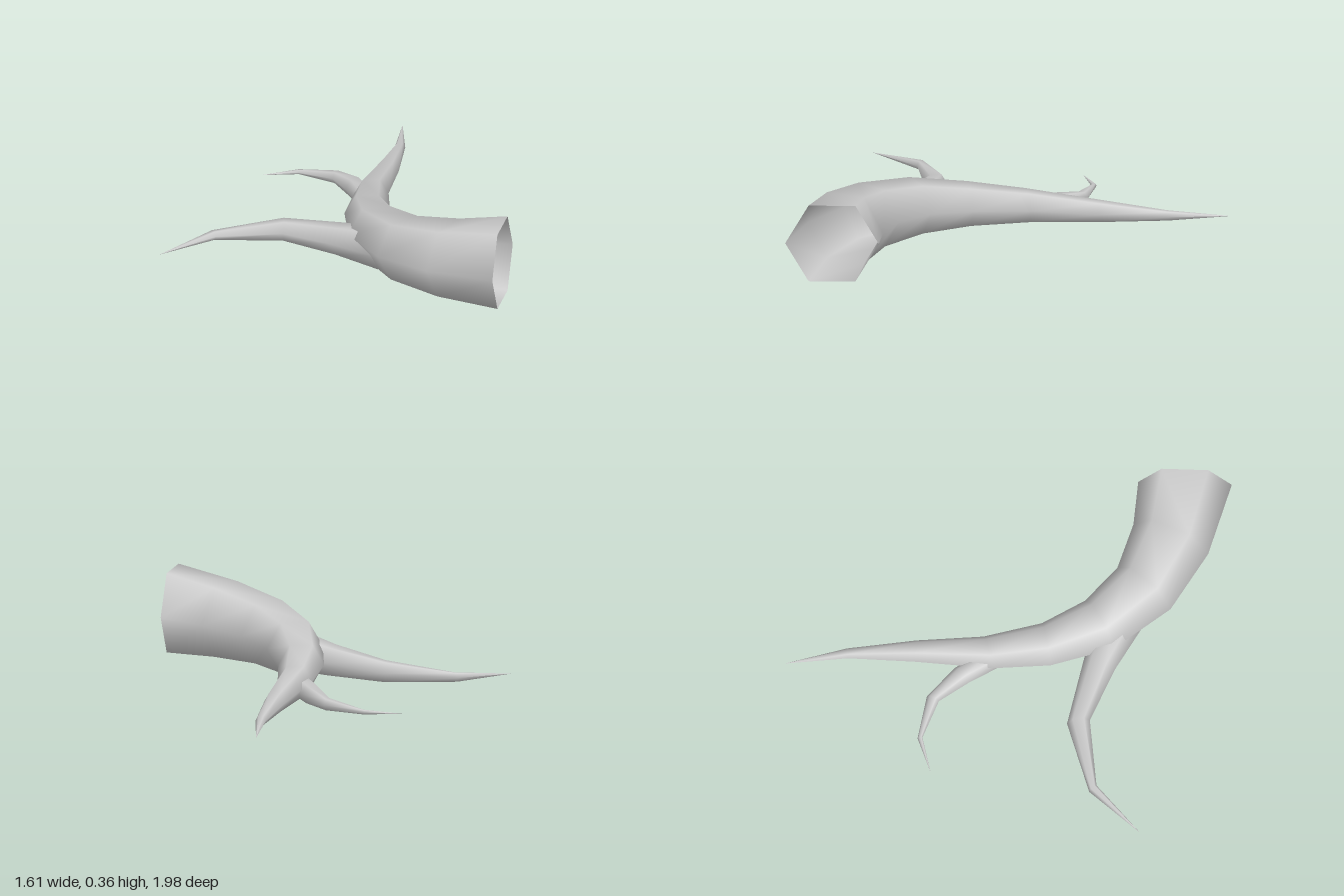
import * as THREE from 'three';

const material = new THREE.MeshStandardMaterial({ color: 0xcccccc, side: THREE.DoubleSide });
const SIDES = 6;

// Tapering six-sided limb resting on the ground.
// Each section is [outer x, outer z, inner x, inner z]; the last one is the tip.
function limb(name, sections) {
  const positions = [];
  const indices = [];
  for (const [ox, oz, ix, iz] of sections) {
    const sx = (ox - ix) / 2, sz = (oz - iz) / 2;
    const radius = Math.hypot(sx, sz);
    const lift = radius * Math.sqrt(3) / 2;
    for (let k = 0; k < SIDES; k++) {
      const a = (k / SIDES) * Math.PI * 2;
      positions.push(
        (ox + ix) / 2 + Math.cos(a) * sx,
        lift + Math.sin(a) * radius,
        (oz + iz) / 2 + Math.cos(a) * sz
      );
    }
  }
  for (let i = 0; i < sections.length - 1; i++) {
    for (let k = 0; k < SIDES; k++) {
      const next = (k + 1) % SIDES;
      const a = i * SIDES + k, b = i * SIDES + next;
      const c = a + SIDES, d = b + SIDES;
      indices.push(a, b, c);
      if (i < sections.length - 2) indices.push(b, d, c);
    }
  }
  const geometry = new THREE.BufferGeometry();
  geometry.setAttribute('position', new THREE.Float32BufferAttribute(positions, 3));
  geometry.setIndex(indices);
  geometry.computeVertexNormals();
  const mesh = new THREE.Mesh(geometry, material);
  mesh.name = name;
  return mesh;
}

export function createModel() {
  const group = new THREE.Group();
  group.name = 'root';

  // Thick curved root, open at the wide end
  group.add(limb('mainRoot', [
    [0.805, 0.995, 0.805, 0.575],
    [0.48, 0.90, 0.61, 0.56],
    [0.22, 0.74, 0.41, 0.495],
    [0.03, 0.49, 0.255, 0.355],
    [-0.05, 0.21, 0.15, 0.165],
    [-0.065, -0.05, 0.085, -0.095],
    [-0.037, -0.40, 0.065, -0.395],
    [-0.022, -0.70, 0.025, -0.705],
    [-0.05, -0.985, -0.05, -0.985],
  ]));

  // Larger side root
  group.add(limb('largeSideRoot', [
    [0.17, 0.63, 0.24, 0.445],
    [-0.05, 0.50, 0.0, 0.36],
    [-0.29, 0.395, -0.31, 0.293],
    [-0.59, 0.435, -0.622, 0.403],
    [-0.805, 0.64, -0.805, 0.64],
  ]));

  // Smaller side root
  group.add(limb('smallSideRoot', [
    [-0.05, -0.02, 0.03, -0.08],
    [-0.125, -0.15, -0.06, -0.22],
    [-0.215, -0.285, -0.195, -0.34],
    [-0.385, -0.353, -0.39, -0.375],
    [-0.55, -0.31, -0.55, -0.31],
  ]));

  return group;
}
